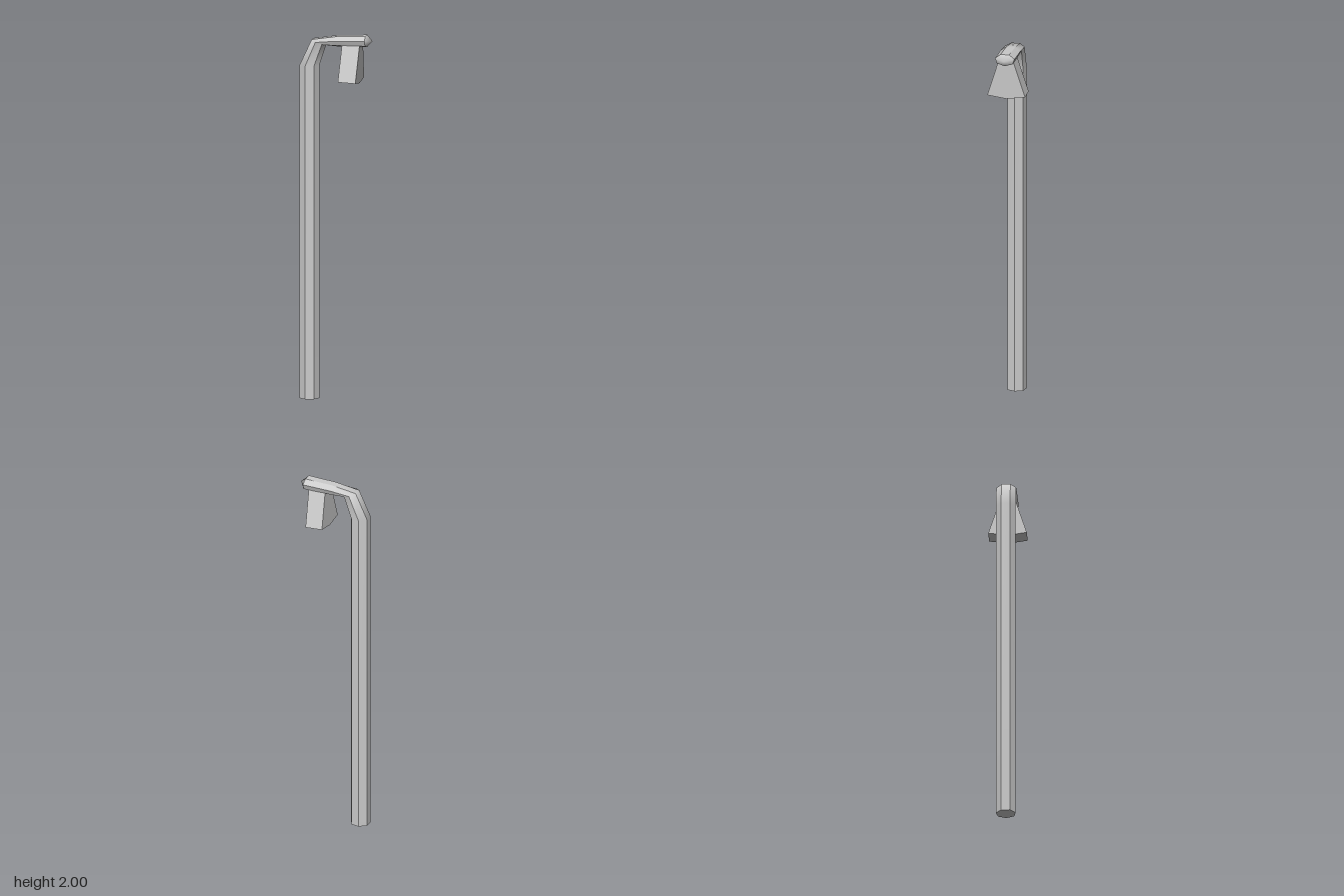
import * as THREE from 'three';

const SIDES = 7;
const HALF_WIDTH = 0.055;

// Outer and inner side of the bent pole, from the foot to the arm end: [outerX, outerY, innerX, innerY]
const RINGS = [
  [-0.2, 0, -0.095, 0],
  [-0.2, 1.825, -0.095, 1.825],
  [-0.132, 1.97, -0.057, 1.942],
  [0.008, 1.992, 0.002, 1.934],
  [0.165, 2.0, 0.168, 1.936],
];

// Corner i of a seven-sided section, flat on the outer side and pointed on the inner side
function corner([ox, oy, ix, iy], i) {
  const a = (i / SIDES) * Math.PI * 2;
  const flat = Math.cos(Math.PI / SIDES);
  const t = (Math.cos(a) + flat) / (1 + flat);
  return [ox + (ix - ox) * t, oy + (iy - oy) * t, Math.sin(a) * HALF_WIDTH];
}

function indexedGeometry(points, index) {
  const g = new THREE.BufferGeometry();
  g.setAttribute('position', new THREE.Float32BufferAttribute(points.flat(), 3));
  g.setIndex(index);
  g.computeVertexNormals();
  return g;
}

// One long side of the pole: smooth along the bend, sharp at its long edges
function stripGeometry(i) {
  const points = [];
  const index = [];
  RINGS.forEach((ring, j) => {
    points.push(corner(ring, i), corner(ring, i + 1));
    if (j > 0) {
      const a = (j - 1) * 2;
      index.push(a, a + 2, a + 1, a + 1, a + 2, a + 3);
    }
  });
  return indexedGeometry(points, index);
}

// Fan from a ring to a centre point, closing one end
function endGeometry(ring, centre, reverse) {
  const points = [centre];
  const index = [];
  for (let i = 0; i < SIDES; i++) {
    points.push(corner(ring, i));
    const a = i + 1;
    const b = ((i + 1) % SIDES) + 1;
    if (reverse) index.push(0, a, b);
    else index.push(0, b, a);
  }
  return indexedGeometry(points, index);
}

export function createModel() {
  const model = new THREE.Group();
  model.name = 'streetLamp';
  const material = new THREE.MeshStandardMaterial({ color: 0xcccccc });
  const add = (name, geometry, parent = model) => {
    const mesh = new THREE.Mesh(geometry, material);
    mesh.name = name;
    parent.add(mesh);
    return mesh;
  };

  // Bent pole with its foot and pointed arm end
  const pole = new THREE.Group();
  pole.name = 'pole';
  model.add(pole);
  for (let i = 0; i < SIDES; i++) add('poleSide', stripGeometry(i), pole);
  add('poleFoot', endGeometry(RINGS[0], [-0.15, 0, 0], true), pole);
  add('armTip', endGeometry(RINGS[RINGS.length - 1], [0.2, 1.97, 0], false), pole);

  // Flared lamp head with a shallow ridge underneath, leaning slightly
  const profile = new THREE.Shape([
    new THREE.Vector2(-0.104, -0.095),
    new THREE.Vector2(0, -0.11),
    new THREE.Vector2(0.104, -0.095),
    new THREE.Vector2(0.04, 0.108),
    new THREE.Vector2(-0.04, 0.108),
  ]);
  const headGeometry = new THREE.ExtrudeGeometry(profile, { depth: 0.097, bevelEnabled: false });
  headGeometry.translate(0, 0, -0.0485).rotateY(Math.PI / 2);
  const head = add('lampHead', headGeometry);
  head.position.set(0.084, 1.849, 0);
  head.rotation.z = -0.045;

  return model;
}
